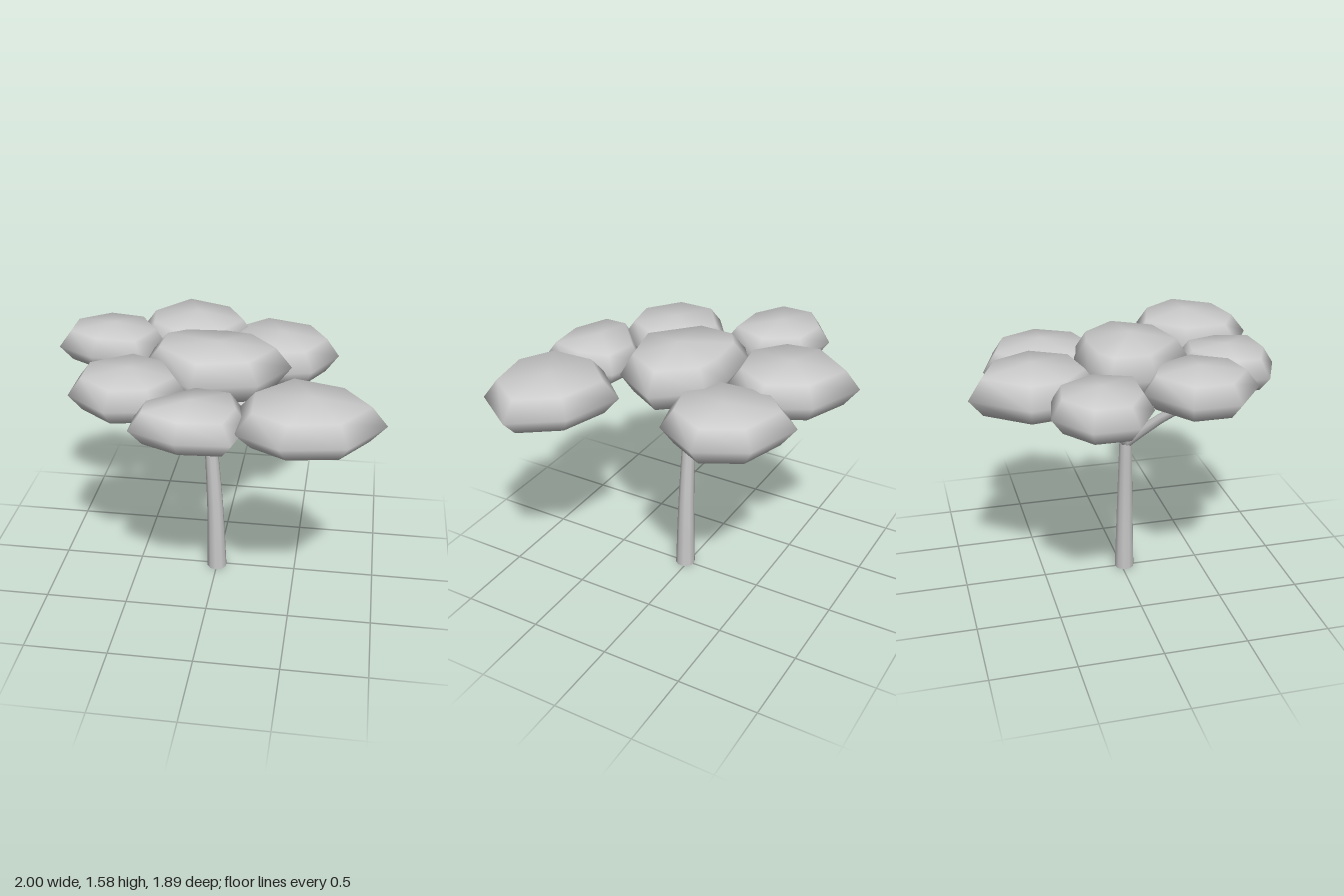
import * as THREE from 'three';

const material = new THREE.MeshStandardMaterial({ color: 0xcccccc });

function addMesh(parent, name, geometry) {
  const mesh = new THREE.Mesh(geometry, material);
  mesh.name = name;
  parent.add(mesh);
}

// Tube along a curve through the points, tapering from r0 to r1
function taperedTube(points, r0, r1, segments, sides) {
  const curve = new THREE.CatmullRomCurve3(points.map((p) => new THREE.Vector3(...p)));
  const geometry = new THREE.TubeGeometry(curve, segments, 1, sides, false);
  const pos = geometry.attributes.position;
  const v = new THREE.Vector3();
  for (let i = 0; i < pos.count; i++) {
    const t = Math.floor(i / (sides + 1)) / segments;
    const centre = curve.getPointAt(t);
    v.fromBufferAttribute(pos, i).sub(centre).multiplyScalar(r0 + (r1 - r0) * t).add(centre);
    pos.setXYZ(i, v.x, v.y, v.z);
  }
  return geometry;
}

// Flattened leaf cushion: an (x, z) outline swept through bevelled rings between two poles
function cushion(outline, bottom, rim, top) {
  const n = outline.length;
  const xs = outline.map((p) => p[0]);
  const zs = outline.map((p) => p[1]);
  const cx = (Math.min(...xs) + Math.max(...xs)) / 2;
  const cz = (Math.min(...zs) + Math.max(...zs)) / 2;
  const angle = (p) => Math.atan2(p[1] - cz, p[0] - cx);
  const sorted = [...outline].sort((a, b) => angle(a) - angle(b));
  const rings = [
    [0.78, rim + (top - rim) * 0.76],
    [1, rim],
    [0.78, rim + (bottom - rim) * 0.76],
  ];
  const positions = [cx, top, cz];
  for (const [s, y] of rings) {
    for (const [x, z] of sorted) positions.push(cx + (x - cx) * s, y, cz + (z - cz) * s);
  }
  positions.push(cx, bottom, cz);
  const last = 1 + rings.length * n;
  const index = [];
  for (let i = 0; i < n; i++) {
    const j = (i + 1) % n;
    index.push(0, 1 + j, 1 + i);
    for (let r = 0; r < rings.length - 1; r++) {
      const a = 1 + r * n + i, b = 1 + r * n + j;
      index.push(a, b, a + n, b, b + n, a + n);
    }
    index.push(last, last - n + i, last - n + j);
  }
  const geometry = new THREE.BufferGeometry();
  geometry.setAttribute('position', new THREE.Float32BufferAttribute(positions, 3));
  geometry.setIndex(index);
  geometry.computeVertexNormals();
  return geometry;
}

export function createModel() {
  const tree = new THREE.Group();
  tree.name = 'tree';

  // Trunk, leaning slightly, with a closed foot
  const trunk = [[0, 0, 0.02], [-0.012, 0.45, 0.02], [-0.04, 0.92, 0.018]];
  addMesh(tree, 'trunk', taperedTube(trunk, 0.062, 0.039, 6, 10));
  const foot = new THREE.CircleGeometry(0.06, 10).rotateX(Math.PI / 2).translate(0, 0.001, 0.02);
  addMesh(tree, 'trunkFoot', foot);

  // Branches fanning out from the top of the trunk
  const fork = [-0.04, 0.89, 0.018];
  const branches = {
    branchFrontRight: [[-0.2, 1.1, 0.2], [-0.45, 1.35, 0.46]],
    branchBackRight: [[-0.14, 1.1, -0.06], [-0.3, 1.36, -0.22]],
    branchBackLeft: [[0.14, 1.11, -0.12], [0.4, 1.33, -0.29]],
  };
  for (const [name, path] of Object.entries(branches)) {
    addMesh(tree, name, taperedTube([fork, ...path], 0.036, 0.02, 5, 8));
  }

  // Leaf cushions: name, bottom, rim and top heights, outline in (x, z)
  const cushions = [
    ['leavesFrontLeft', 1.24, 1.37, 1.51,
      [[0.44, 0.2], [0.8, 0.31], [1, 0.59], [0.8, 0.88], [0.45, 0.94], [0.2, 0.8], [0.19, 0.47]]],
    ['leavesBackLeft', 1.19, 1.33, 1.47,
      [[0.2, -0.8], [0.55, -0.69], [0.7, -0.41], [0.55, -0.13], [0.25, -0.05], [0.02, -0.22], [0, -0.6]]],
    ['leavesTop', 1.26, 1.42, 1.58,
      [[-0.41, -0.17], [-0.27, -0.26], [0.03, -0.28], [0.23, -0.24], [0.44, 0.01], [0.27, 0.3], [-0.1, 0.39], [-0.42, 0.1]]],
    ['leavesFront', 1.23, 1.35, 1.48,
      [[-0.37, 0.62], [-0.37, 0.8], [-0.1, 0.92], [0.2, 0.9], [0.26, 0.65], [0.19, 0.41], [-0.06, 0.36]]],
    ['leavesFrontRight', 1.25, 1.38, 1.51,
      [[-0.5, 0], [-0.78, 0.2], [-0.78, 0.48], [-0.53, 0.67], [-0.27, 0.62], [-0.12, 0.37], [-0.26, 0.1]]],
    ['leavesRight', 1.28, 1.4, 1.53,
      [[-0.77, -0.57], [-1, -0.4], [-1, -0.15], [-0.77, -0.01], [-0.46, 0], [-0.35, -0.27], [-0.5, -0.52]]],
    ['leavesBack', 1.23, 1.37, 1.52,
      [[-0.33, -0.95], [0.02, -0.81], [0.17, -0.53], [0.02, -0.26], [-0.31, -0.2], [-0.53, -0.38], [-0.57, -0.64]]],
  ];
  for (const [name, bottom, rim, top, outline] of cushions) {
    addMesh(tree, name, cushion(outline, bottom, rim, top));
  }
  return tree;
}
